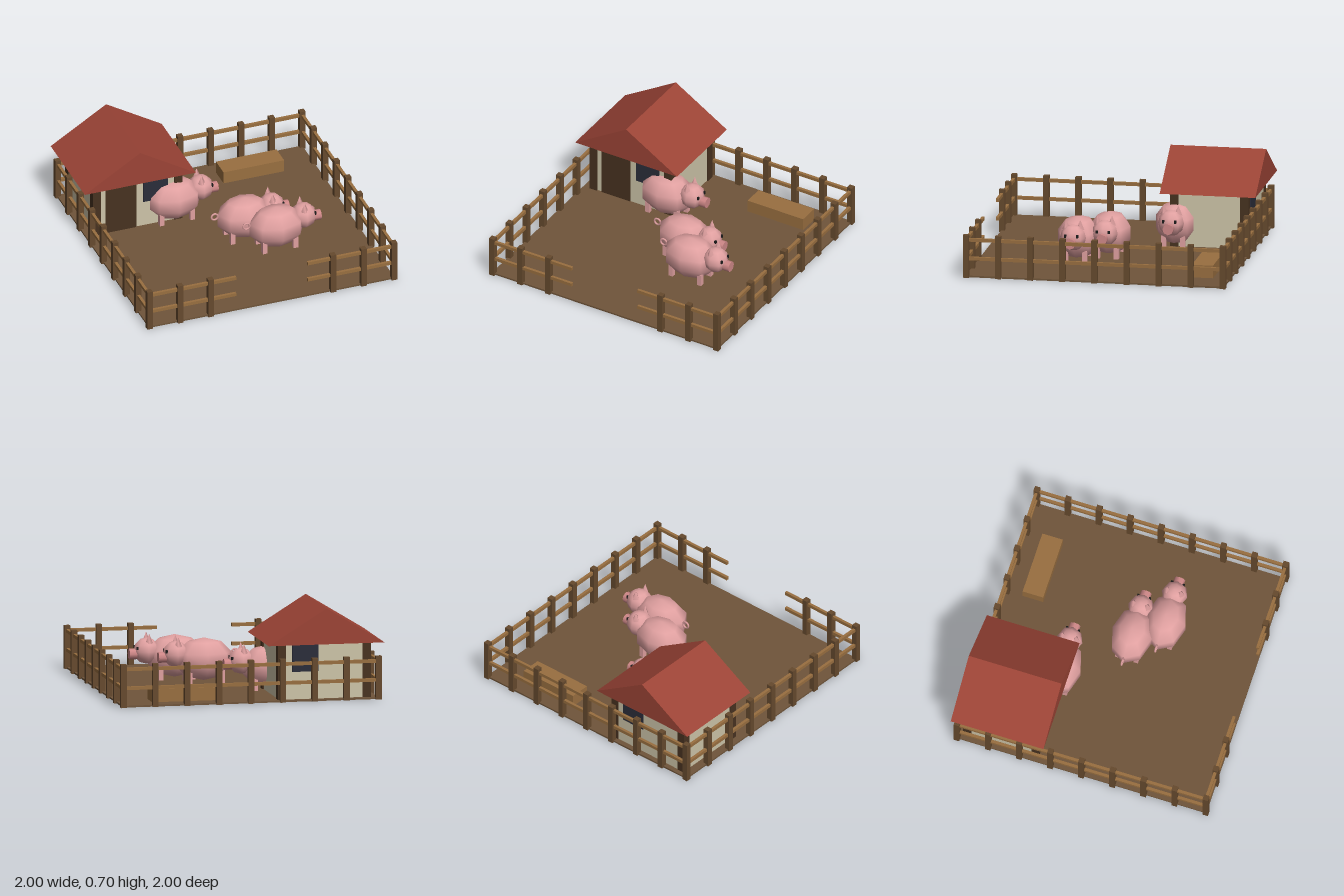
import * as THREE from 'three';

const mat = (name, color, extra = {}) => {
  const m = new THREE.MeshStandardMaterial({ color, ...extra });
  m.name = name;
  return m;
};

export function createModel() {
  const M = {
    mud: mat('mud brown', 0x70553a),
    post: mat('post brown', 0x664a2e),
    plank: mat('plank tan', 0x996f40),
    wall: mat('plaster cream', 0xcdc4a8),
    timber: mat('dark timber', 0x473220),
    roof: mat('roof red', 0x9c4436),
    glass: mat('window navy', 0x2b2d3a),
    pink: mat('pig pink', 0xe0a0a0),
    snout: mat('snout pink', 0xcf8888),
    eye: mat('eye black', 0x1a1a1a),
  };
  const root = new THREE.Group();
  root.name = 'pigPen';

  const add = (parent, name, geo, material, x = 0, y = 0, z = 0) => {
    const mesh = new THREE.Mesh(geo, material);
    mesh.name = name;
    mesh.position.set(x, y, z);
    parent.add(mesh);
    return mesh;
  };
  // Box given by its min and max corners
  const box = (parent, name, material, [x0, y0, z0], [x1, y1, z1]) =>
    add(parent, name, new THREE.BoxGeometry(x1 - x0, y1 - y0, z1 - z0), material,
      (x0 + x1) / 2, (y0 + y1) / 2, (z0 + z1) / 2);
  const group = (name) => {
    const g = new THREE.Group();
    g.name = name;
    root.add(g);
    return g;
  };

  // Ground slab
  box(root, 'ground', M.mud, [-0.965, 0.001, -0.965], [0.98, 0.014, 0.98]);

  // Fence: posts on a regular pitch, with a gateway in the front
  const fence = group('fence');
  const lo = -0.961, hi = 0.976, n = 8, step = (hi - lo) / n;
  const post = (x, z) => box(fence, 'fencePost', M.post,
    [x - 0.0215, 0, z - 0.0215], [x + 0.0215, 0.325, z + 0.0215]);
  for (let i = 0; i <= n; i++) {
    const p = lo + i * step;
    post(p, lo);
    if (i < 3 || i > 5) post(p, hi);
    if (i > 0 && i < n) {
      post(lo, p);
      post(hi, p);
    }
  }
  for (const y of [0.145, 0.287]) {
    const a = y - 0.0125, b = y + 0.0125, t = 0.011;
    box(fence, 'backRail', M.plank, [lo, a, lo - t], [hi, b, lo + t]);
    box(fence, 'frontRail', M.plank, [lo, a, hi - t], [-0.275, b, hi + t]);
    box(fence, 'frontRail', M.plank, [0.292, a, hi - t], [hi, b, hi + t]);
    for (const x of [lo, hi]) box(fence, 'sideRail', M.plank, [x - t, a, lo], [x + t, b, hi]);
  }

  // Sty: walls, corner timbers, door, windows and gable roof
  const sty = group('sty');
  box(sty, 'walls', M.wall, [-0.9, 0, -0.925], [-0.215, 0.432, -0.35]);
  for (const x of [-0.88, -0.236])
    for (const z of [-0.37, -0.9])
      box(sty, 'cornerTimber', M.timber, [x - 0.031, 0.0005, z - 0.031], [x + 0.031, 0.432, z + 0.031]);
  box(sty, 'door', M.timber, [-0.81, 0.014, -0.352], [-0.565, 0.41, -0.343]);
  box(sty, 'frontWindow', M.glass, [-0.512, 0.22, -0.352], [-0.315, 0.43, -0.343]);
  box(sty, 'backWindow', M.glass, [-0.512, 0.22, -0.932], [-0.315, 0.43, -0.923]);
  const gable = new THREE.Shape([
    new THREE.Vector2(-1, 0.43), new THREE.Vector2(-0.12, 0.43), new THREE.Vector2(-0.56, 0.7),
  ]);
  add(sty, 'roof', new THREE.ExtrudeGeometry(gable, { depth: 0.722, bevelEnabled: false }),
    M.roof, 0, 0, -1);

  // Feeding trough
  box(root, 'trough', M.plank, [0.25, 0.005, -0.84], [0.73, 0.11, -0.68]);

  // Pigs, all facing +x
  const bodyGeo = new THREE.SphereGeometry(1, 8, 5).scale(0.222, 0.16, 0.161);
  const headGeo = new THREE.SphereGeometry(0.098, 8, 6);
  const snoutGeo = new THREE.CylinderGeometry(0.041, 0.041, 0.07, 8).rotateZ(Math.PI / 2);
  const earGeo = new THREE.ConeGeometry(0.03, 0.075, 4);
  const legGeo = new THREE.BoxGeometry(0.036, 0.11, 0.036);
  const eyeGeo = new THREE.BoxGeometry(0.014, 0.022, 0.016);
  const tailGeo = new THREE.TorusGeometry(0.025, 0.008, 6, 12);
  for (const [x, z] of [[-0.262, -0.378], [0.142, 0.047], [0.318, 0.253]]) {
    const pig = group('pig');
    pig.position.set(x, 0, z);
    add(pig, 'body', bodyGeo, M.pink, 0, 0.187, 0);
    add(pig, 'head', headGeo, M.pink, 0.215, 0.23, 0);
    add(pig, 'snout', snoutGeo, M.snout, 0.312, 0.208, 0);
    add(pig, 'tail', tailGeo, M.pink, -0.236, 0.228, 0);
    for (const s of [-1, 1]) {
      add(pig, 'ear', earGeo, M.pink, 0.205, 0.327, s * 0.053);
      add(pig, 'eye', eyeGeo, M.eye, 0.292, 0.255, s * 0.045);
      for (const lx of [-0.122, 0.122]) add(pig, 'leg', legGeo, M.pink, lx, 0.055, s * 0.072);
    }
  }
  return root;
}
